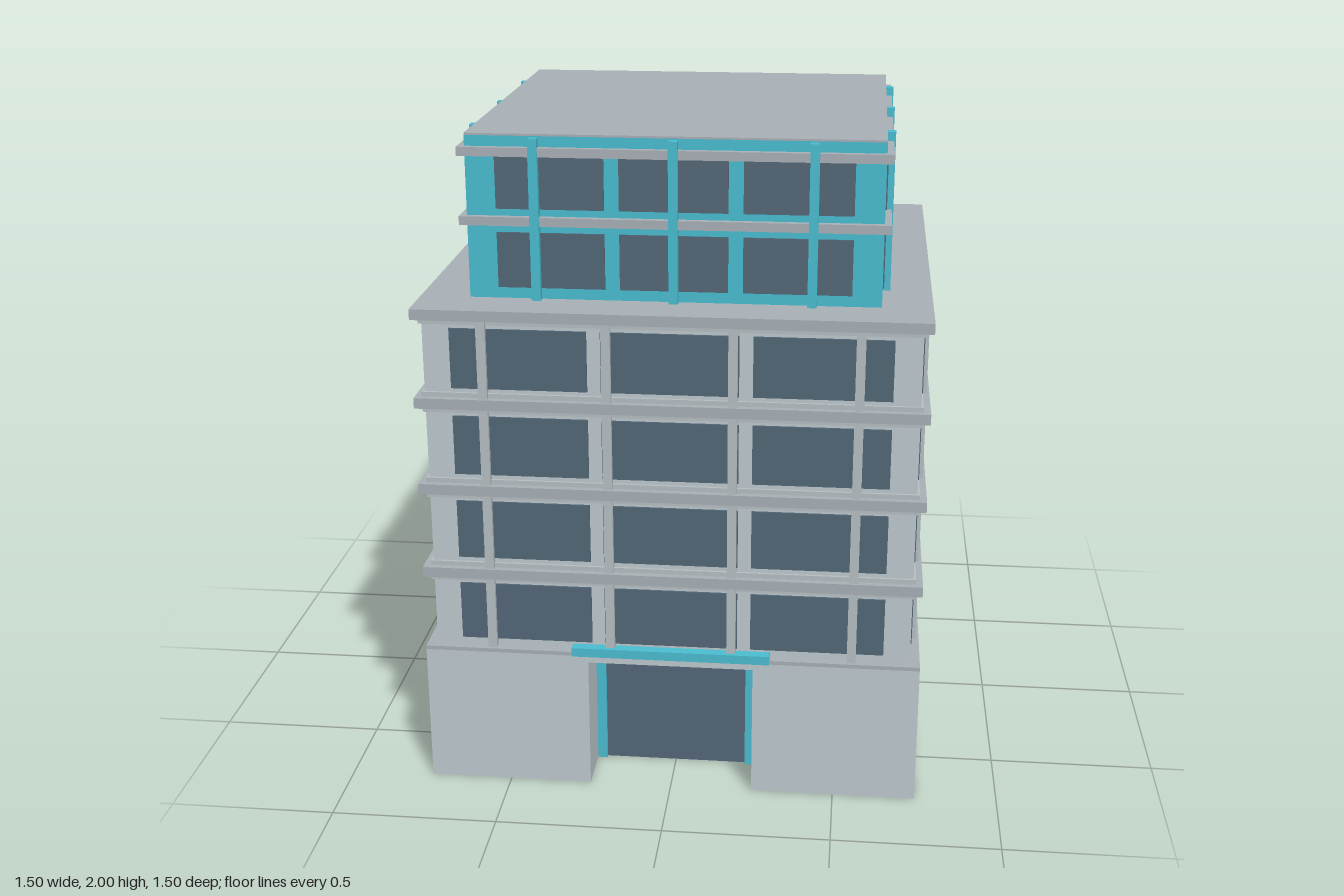
import * as THREE from 'three';

const mat = (color) => new THREE.MeshStandardMaterial({ color, flatShading: true });

export function createModel() {
  const model = new THREE.Group();
  const wall = mat(0xc0cbd0), slab = mat(0xaab2b8), pier = mat(0xb8c1c5);
  const glass = mat(0x546878), teal = mat(0x4bbfd3);

  // Box given by its limits on each axis
  function box(name, material, [x0, x1], [y0, y1], [z0, z1], parent = model) {
    const mesh = new THREE.Mesh(new THREE.BoxGeometry(x1 - x0, y1 - y0, z1 - z0), material);
    mesh.position.set((x0 + x1) / 2, (y0 + y1) / 2, (z0 + z1) / 2);
    mesh.name = name;
    parent.add(mesh);
    return mesh;
  }
  // Square storey block centred on the axis
  const block = (name, material, h, y) => box(name, material, [-h, h], y, [-h, h]);

  // Plinth with a recessed entrance, extruded from its plan (plan y = -z)
  const plan = new THREE.Shape([
    [-0.75, -0.75], [-0.25, -0.75], [-0.25, -0.58], [0.25, -0.58],
    [0.25, -0.75], [0.75, -0.75], [0.75, 0.75], [-0.75, 0.75],
  ].map(([x, y]) => new THREE.Vector2(x, y)));
  const plinthGeometry = new THREE.ExtrudeGeometry(plan, { depth: 0.415, bevelEnabled: false });
  plinthGeometry.rotateX(-Math.PI / 2);
  const plinth = new THREE.Mesh(plinthGeometry, wall);
  plinth.name = 'plinth';
  model.add(plinth);
  block('plinthLintel', wall, 0.75, [0.415, 0.436]);
  block('plinthLedge', slab, 0.75, [0.436, 0.448]);

  // Entrance
  box('door', glass, [-0.22, 0.22], [0, 0.39], [0.578, 0.588]);
  for (const s of [-1, 1]) {
    const jamb = box('doorJamb', teal, [-0.015, 0.015], [0, 0.413], [0.578, 0.6]);
    jamb.position.x = s * 0.234;
  }
  box('doorHead', teal, [-0.22, 0.22], [0.39, 0.413], [0.578, 0.6]);
  box('entranceCanopy', teal, [-0.3, 0.3], [0.434, 0.462], [0.66, 0.752]);

  // Main storeys, floor slabs and the beams behind them
  block('mainWalls', wall, 0.72, [0.44, 1.5]);
  for (let i = 1; i <= 4; i++) {
    const y = 0.425 + i * 0.269;
    block('floorSlab', slab, 0.748, [y - 0.016, y + 0.016]);
    block('floorBeam', pier, 0.728, [y - 0.032, Math.min(y + 0.03, 1.51)]);
  }

  // Upper storeys and roof
  block('upperWalls', teal, 0.6, [1.5, 1.994]);
  block('roof', slab, 0.6, [1.994, 2]);
  for (const y of [1.749, 1.95]) block('upperSlab', slab, 0.62, [y - 0.013, y + 0.013]);

  // Windows and columns, repeated on all four sides
  for (let k = 0; k < 4; k++) {
    const side = new THREE.Group();
    side.name = 'facade';
    side.rotation.y = k * Math.PI / 2;
    for (const n of [-1, 0, 1]) {
      for (let i = 0; i < 4; i++) {
        const y = 0.562 + i * 0.268, x = n * 0.44;
        box('mainWindow', glass, [x - 0.2, x + 0.2], [y - 0.091, y + 0.091], [0.71, 0.726], side);
      }
      for (const y of [1.632, 1.865]) {
        const x = n * 0.357;
        box('upperWindow', glass, [x - 0.157, x + 0.157], [y - 0.082, y + 0.082], [0.59, 0.605], side);
      }
      const c = n * 0.4;
      box('upperColumn', teal, [c - 0.0135, c + 0.0135], [1.5, 1.99], [0.595, 0.625], side);
    }
    for (const x of [-0.545, -0.183, 0.183, 0.545]) {
      box('mainColumn', pier, [x - 0.0135, x + 0.0135], [0.44, 1.49], [0.71, 0.74], side);
    }
    model.add(side);
  }
  return model;
}
